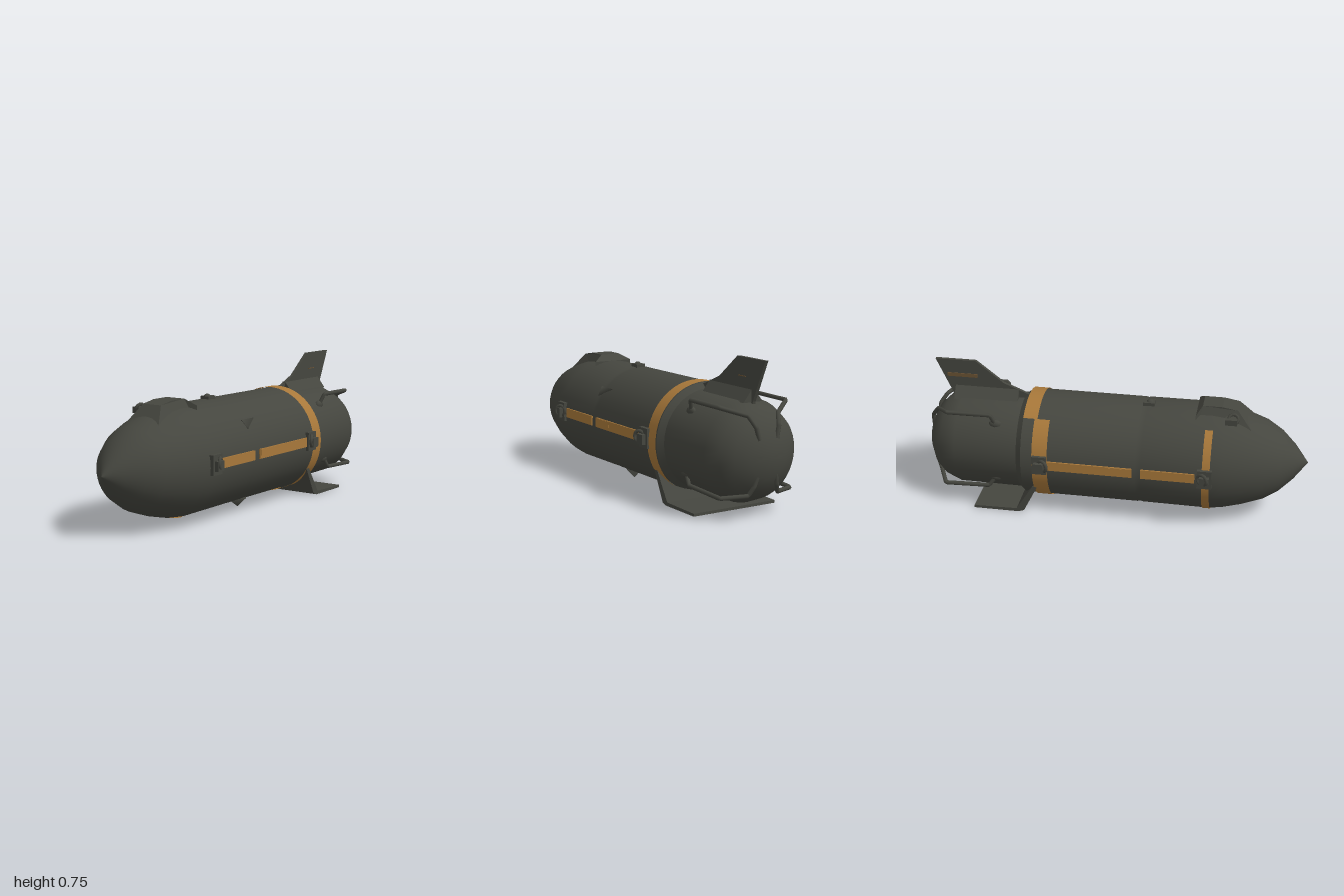
import * as THREE from 'three';
import { toCreasedNormals } from 'three/addons/utils/BufferGeometryUtils.js';

const CY = 0.307; // height of the body axis
const olive = new THREE.MeshStandardMaterial({ color: 0x45463f });
olive.name = 'dark olive paint';
const ochre = new THREE.MeshStandardMaterial({ color: 0xa8783a, side: THREE.DoubleSide });
ochre.name = 'ochre stripe';
const brown = new THREE.MeshStandardMaterial({ color: 0x6a5233 });
brown.name = 'worn brown stripe';

export function createModel() {
  const model = new THREE.Group();
  model.name = 'finnedCanister';

  const add = (name, geometry, material = olive, x = 0, y = 0, z = 0) => {
    const mesh = new THREE.Mesh(geometry, material);
    mesh.name = name;
    mesh.position.set(x, y, z);
    model.add(mesh);
    return mesh;
  };
  const box = (name, w, h, d, x, y, z, material) =>
    add(name, new THREE.BoxGeometry(w, h, d), material, x, y, z);
  const vec = (p) => new THREE.Vector3(...p);
  const plate = (points, depth) => {
    const shape = new THREE.Shape(points.map(([x, y]) => new THREE.Vector2(x, y)));
    return new THREE.ExtrudeGeometry(shape, { depth, bevelEnabled: false }).translate(0, 0, -depth / 2);
  };

  // Body turned about x: pointed nose, long barrel, stepped round tail
  const profile = [
    [-1, 0], [-0.93, 0.09], [-0.86, 0.158], [-0.78, 0.208], [-0.67, 0.246], [-0.57, 0.271],
    [-0.5, 0.279], [-0.165, 0.277], [-0.15, 0.274], [-0.135, 0.277], [0.46, 0.277],
    [0.49, 0.252], [0.82, 0.25], [0.9, 0.218], [0.95, 0.17], [0.985, 0.1], [0.997, 0.045], [1, 0],
  ].map(([x, r]) => new THREE.Vector2(r, x));
  const body = new THREE.LatheGeometry(profile, 40).rotateZ(-Math.PI / 2);
  add('body', toCreasedNormals(body, 0.6), olive, 0, CY);

  // Painted bands; angles in degrees run front, bottom, back, top
  const band = (name, x0, x1, from, sweep) => {
    const g = new THREE.CylinderGeometry(0.282, 0.282, x1 - x0, 40, 1, true,
      THREE.MathUtils.degToRad(from), THREE.MathUtils.degToRad(sweep));
    add(name, g.rotateZ(-Math.PI / 2), ochre, (x0 + x1) / 2, CY);
  };
  band('mainBandFront', 0.385, 0.46, -128, 192);
  band('mainBandRear', 0.32, 0.4, 64, 168);
  band('noseBand', -0.515, -0.475, 75, 160);

  for (const s of [1, -1]) {
    // Side stripes
    for (const [x0, x1] of [[-0.44, -0.165], [-0.12, 0.32]])
      box('sideStripe', x1 - x0, 0.05, 0.008, (x0 + x1) / 2, 0.318, s * 0.279, ochre);
    box('stripeRidge', 0.12, 0.03, 0.012, -0.05, 0.325, s * 0.279, ochre);

    // Carrying lugs: base pad with a pierced ring
    for (const x of [-0.49, 0.36]) {
      box('lugPad', 0.075, 0.1, 0.03, x, 0.32, s * 0.276);
      box('lugBlock', 0.05, 0.05, 0.035, x, 0.315, s * 0.295);
      const ring = add('lugRing', new THREE.TorusGeometry(0.028, 0.009, 6, 12), olive,
        x + (x < 0 ? 0.01 : -0.02), 0.325, s * 0.298);
      ring.rotation.y = 0.5 * s;
    }

    // Tail guard rails, two above and two below
    const rails = {
      upperRail: [[0.61, 0.48, 0.175], [0.63, 0.54, 0.195], [0.86, 0.538, 0.195],
        [0.94, 0.5, 0.085], [0.975, 0.45, 0.065], [0.98, 0.39, 0.05]],
      lowerRail: [[0.61, 0.185, 0.205], [0.65, 0.13, 0.212], [0.89, 0.118, 0.205],
        [0.945, 0.125, 0.085], [0.965, 0.17, 0.065], [0.975, 0.23, 0.05]],
    };
    for (const [name, pts] of Object.entries(rails)) {
      const path = new THREE.CurvePath();
      const v = pts.map(([x, y, z]) => vec([x, y, z * s]));
      for (let i = 1; i < v.length; i++) path.add(new THREE.LineCurve3(v[i - 1], v[i]));
      add(name, new THREE.TubeGeometry(path, 48, 0.011, 6));
      const foot = add(name + 'Foot', new THREE.SphereGeometry(0.025, 8, 6), olive, ...v[0].toArray());
      foot.scale.set(1.4, 1, 0.7);
    }
  }

  // Upright tail fin with a flared root
  add('topFin', plate([[0.42, 0.56], [0.6, 0.635], [0.745, 0.75], [0.96, 0.75], [0.87, 0.55], [0.86, 0.48], [0.45, 0.5]], 0.017));
  const root = plate([[-0.055, 0.545], [0.055, 0.545], [0.008, 0.605], [-0.008, 0.605]], 0.34);
  add('topFinRoot', root.rotateY(Math.PI / 2), olive, 0.69);
  box('finStripe', 0.16, 0.02, 0.004, 0.82, 0.665, -0.0095, brown);
  box('finMark', 0.06, 0.004, 0.003, 0.785, 0.66, 0.009, brown);

  // Flat lower fin on a sloping root
  add('lowerFin', plate([[0.385, 0.16], [0.46, 0.01], [0.49, 0], [0.73, 0], [0.73, 0.014], [0.5, 0.018], [0.41, 0.16]], 0.48));

  // Raised hump on top of the nose
  const hump = plate([[-0.72, 0.5], [-0.63, 0.604], [-0.55, 0.618], [-0.45, 0.618], [-0.42, 0.585], [-0.42, 0.5]], 0.22);
  const hp = hump.attributes.position;
  for (let i = 0; i < hp.count; i++)
    if (hp.getY(i) > 0.59) hp.setZ(i, hp.getZ(i) * 0.5); // taper towards the top
  hump.computeVertexNormals();
  add('noseHump', hump);

  // Small hardware on the nose and barrel
  const latch = add('noseLatch', new THREE.TorusGeometry(0.025, 0.008, 6, 10), olive, -0.61, 0.578, -0.1);
  latch.rotation.x = 0.6;
  box('noseLatchPad', 0.06, 0.03, 0.04, -0.6, 0.568, -0.105);
  box('topLugPad', 0.06, 0.025, 0.05, -0.17, 0.586, -0.01);
  add('topLug', new THREE.SphereGeometry(0.022, 8, 6), olive, -0.175, 0.588, -0.01);
  const vent = add('sideVent', new THREE.ConeGeometry(0.04, 0.1, 4), olive, -0.12, 0.475, 0.205);
  vent.rotation.set(0.2, 0, -1.2);
  const wedge = add('bellyWedge', new THREE.ConeGeometry(0.05, 0.12, 4), olive, -0.1, 0.07, 0.09);
  wedge.rotation.z = 1.4;

  return model;
}
